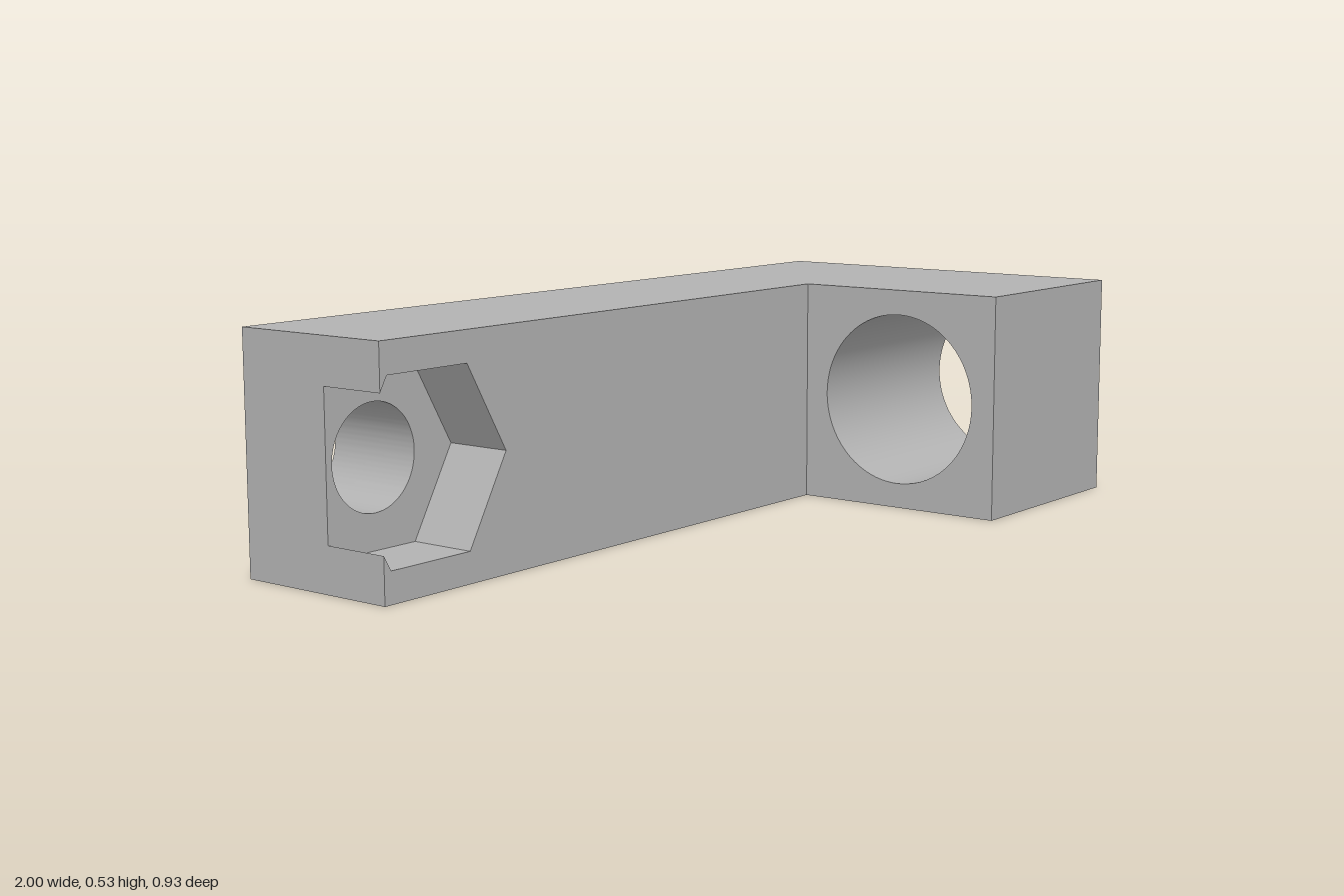
import * as THREE from 'three';
import { toCreasedNormals } from 'three/addons/utils/BufferGeometryUtils.js';

const H = 0.533, MID = H / 2;
const BACK = -0.467, POCKET = -0.227, STEP = -0.067, FRONT = 0.467;
const BOLT_X = -0.867;

const outline = (pts) => new THREE.Shape(pts.map(([x, y]) => new THREE.Vector2(x, y)));
const rect = (x0, x1) => outline([[x0, 0], [x1, 0], [x1, H], [x0, H]]);

function drill(shape, x, y, r) {
  shape.holes.push(new THREE.Path().absarc(x, y, r, 0, Math.PI * 2, true));
  return shape;
}

// Extrude a section from one depth to another, keeping bores smooth and edges sharp
function slab(shape, from, to) {
  const geo = new THREE.ExtrudeGeometry(shape, { depth: to - from, bevelEnabled: false, curveSegments: 64 });
  geo.translate(0, 0, from);
  return toCreasedNormals(geo, 0.4);
}

export function createModel() {
  const group = new THREE.Group();
  group.name = 'angleBracket';
  const grey = new THREE.MeshStandardMaterial({ color: 0xb2b2b2 });
  grey.name = 'grey';
  const add = (name, geo) => {
    const mesh = new THREE.Mesh(geo, grey);
    mesh.name = name;
    group.add(mesh);
  };

  // Rear layer of the long arm, with the round bolt hole
  add('armRear', slab(drill(rect(-1, 1), BOLT_X, MID, 0.1167), BACK, POCKET));

  // Front layer of the arm: a hexagonal nut pocket that breaks out through the end
  const R = 0.2271, flat = R * Math.sqrt(3) / 2;
  const cut = flat - (BOLT_X - R / 2 + 1) * Math.sqrt(3); // half height of the opening at x = -1
  add('armFront', slab(outline([
    [-1, 0], [1, 0], [1, H], [-1, H],
    [-1, MID + cut], [BOLT_X - R / 2, MID + flat], [BOLT_X + R / 2, MID + flat],
    [BOLT_X + R, MID],
    [BOLT_X + R / 2, MID - flat], [BOLT_X - R / 2, MID - flat], [-1, MID - cut],
  ]), POCKET, STEP));

  // Short leg with the large cross bore, extruded along x
  const leg = slab(drill(rect(-FRONT, -STEP), -0.2, MID, 0.2067), 0.467, 1);
  leg.rotateY(Math.PI / 2);
  add('shortLeg', leg);

  return group;
}
